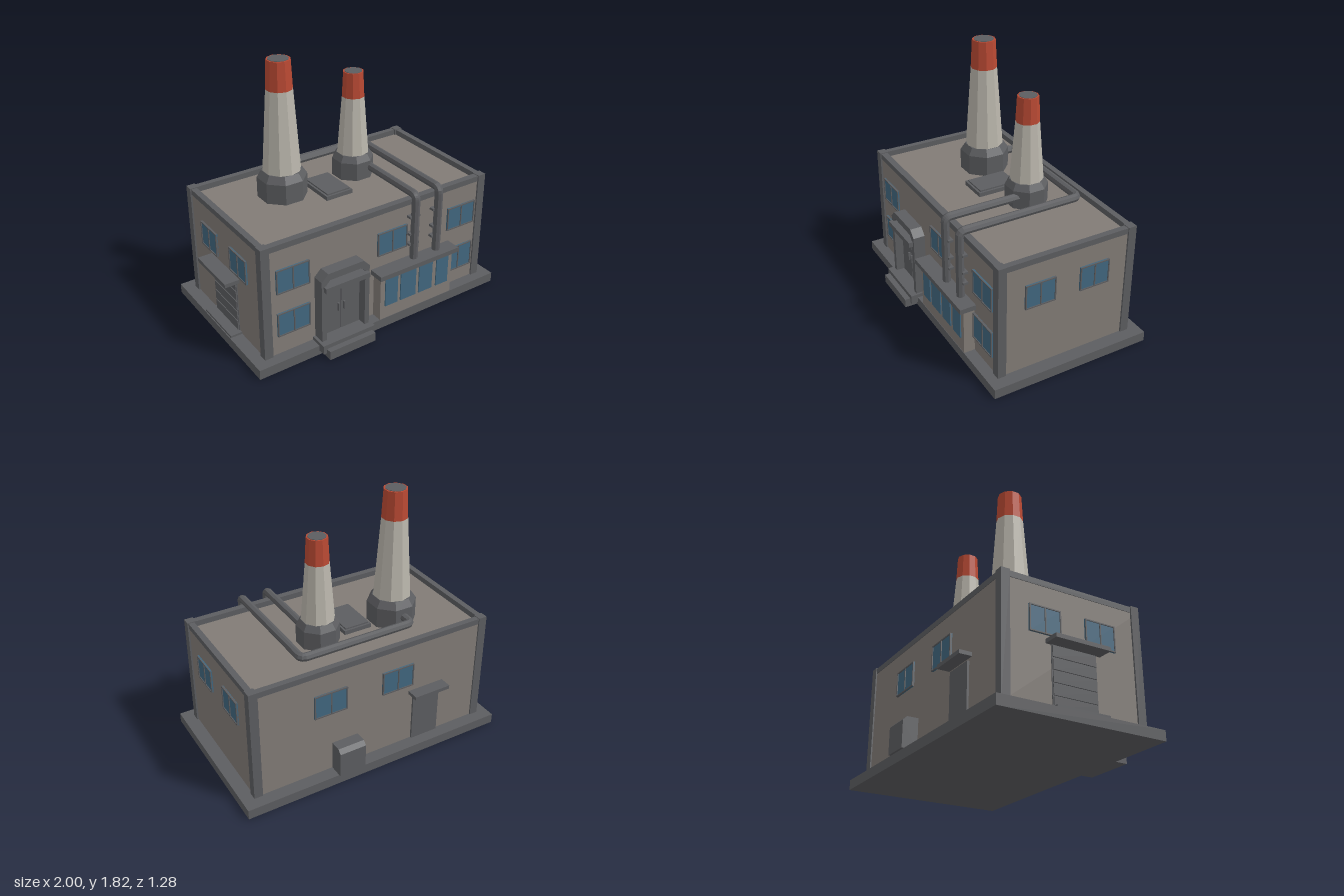
import * as THREE from 'three';

const mat = (name, color, extra = {}) => {
  const m = new THREE.MeshStandardMaterial({ color, flatShading: true, ...extra });
  m.name = name;
  return m;
};

export function createModel() {
  const wall = mat('wall', 0x817b76);
  const trim = mat('darkTrim', 0x5c5d60);
  const glass = mat('glass', 0x41677f);
  const concrete = mat('concrete', 0xbab6ac);
  const red = mat('redBand', 0xb94933);

  const model = new THREE.Group();
  model.name = 'factory';

  const group = (name, parent = model) => {
    const g = new THREE.Group();
    g.name = name;
    parent.add(g);
    return g;
  };
  const add = (name, geo, m, parent = model) => {
    const mesh = new THREE.Mesh(geo, m);
    mesh.name = name;
    parent.add(mesh);
    return mesh;
  };
  // box given by its minimum and maximum corners
  const box = (name, m, [x0, x1], [y0, y1], [z0, z1], parent = model) => {
    const b = add(name, new THREE.BoxGeometry(x1 - x0, y1 - y0, z1 - z0), m, parent);
    b.position.set((x0 + x1) / 2, (y0 + y1) / 2, (z0 + z1) / 2);
    return b;
  };

  // slab, walls and roof
  const X0 = -0.893, X1 = 0.9, Z0 = -0.528, Z1 = 0.468;
  box('foundation', trim, [-0.985, 0.995], [0, 0.07], [-0.62, 0.55]);
  box('walls', wall, [X0, X1], [0.07, 0.85], [Z0, Z1]);

  // parapet and corner pillars
  const parapet = group('parapet');
  box('parapetFront', trim, [X0, X1], [0.85, 0.89], [0.425, Z1 + 0.004], parapet);
  box('parapetBack', trim, [X0, X1], [0.85, 0.89], [Z0 - 0.004, -0.49], parapet);
  box('parapetLeft', trim, [0.862, X1 + 0.004], [0.85, 0.89], [Z0, Z1], parapet);
  box('parapetRight', trim, [X0 - 0.004, -0.855], [0.85, 0.89], [Z0, Z1], parapet);
  for (const x of [-0.905, 0.85])
    for (const z of [-0.538, 0.42])
      box('cornerPillar', trim, [x, x + 0.062], [0.07, 0.895], [z, z + 0.06]);

  // one group per facade; local z = 0 lies on the wall surface
  const facade = (name, x, z, turn) => {
    const g = group(name);
    g.position.set(x, 0, z);
    g.rotation.y = turn;
    return g;
  };
  const front = facade('frontFacade', 0, Z1, 0);
  const back = facade('backFacade', 0, Z0, Math.PI);
  const left = facade('leftFacade', X1, 0, Math.PI / 2);
  const right = facade('rightFacade', X0, 0, -Math.PI / 2);

  // two-pane window with a thin frame
  const windowAt = (parent, x, y, w = 0.246, h = 0.175) => {
    const g = group('window', parent);
    g.position.set(x, y, 0);
    const t = 0.008, d = [0, 0.015];
    box('pane', glass, [-w / 2, w / 2], [-h / 2, h / 2], [0, 0.009], g);
    for (const s of [-1, 1]) {
      const a = s * (w / 2 - t / 2), b = s * (h / 2 - t / 2);
      box('frameSide', trim, [a - t / 2, a + t / 2], [-h / 2, h / 2], d, g);
      box('frameRail', trim, [-w / 2, w / 2], [b - t / 2, b + t / 2], d, g);
    }
    box('mullion', trim, [-t / 2, t / 2], [-h / 2, h / 2], d, g);
  };
  for (const x of [-0.678, 0.105, 0.708]) windowAt(front, x, 0.623);
  windowAt(front, -0.678, 0.298);
  windowAt(front, 0.708, 0.278, 0.246, 0.195);
  for (const x of [-0.175, 0.23]) windowAt(left, x, 0.623, 0.222);
  for (const x of [-0.235, 0.165]) windowAt(right, x, 0.623, 0.222);
  for (const x of [-0.335, 0.185]) windowAt(back, x, 0.623);

  // shop bay with canopy and tall panes
  box('bay', wall, [-0.04, 0.585], [0.07, 0.41], [Z1, 0.547]);
  box('bayCanopy', trim, [-0.065, 0.61], [0.41, 0.445], [Z1, 0.583]);
  for (const [a, b] of [[-0.002, 0.102], [0.128, 0.26], [0.288, 0.405], [0.442, 0.548]])
    box('bayPane', glass, [a, b], [0.172, 0.405], [0.547, 0.555]);

  // entrance portal with chamfered arch
  const entrance = group('entrance');
  box('lowerStep', trim, [-0.51, -0.145], [0, 0.065], [0.5, 0.64], entrance);
  box('upperStep', trim, [-0.535, -0.122], [0.03, 0.095], [0.47, 0.6], entrance);
  const arch = (w, top, cut, s) => {
    s.moveTo(-w, 0.09);
    s.lineTo(w, 0.09);
    s.lineTo(w, top - cut);
    s.lineTo(w - cut, top);
    s.lineTo(cut - w, top);
    s.lineTo(-w, top - cut);
    s.closePath();
    return s;
  };
  const portal = arch(0.188, 0.607, 0.05, new THREE.Shape());
  portal.holes.push(arch(0.153, 0.557, 0.03, new THREE.Path()));
  const portalMesh = add('portalFrame',
    new THREE.ExtrudeGeometry(portal, { depth: 0.085, bevelEnabled: false }), trim, entrance);
  portalMesh.position.set(-0.327, 0, Z1);
  box('portalLintel', trim, [-0.5, -0.155], [0.485, 0.522], [Z1, 0.583], entrance);
  for (const s of [-1, 1]) {
    const c = -0.327 + s * 0.076;
    box('doorLeaf', trim, [c - 0.073, c + 0.073], [0.095, 0.485], [Z1, 0.493], entrance);
    const h = -0.327 + s * 0.022;
    box('doorHandle', trim, [h - 0.006, h + 0.006], [0.25, 0.31], [0.493, 0.51], entrance);
  }

  // roller door with awning and ramp
  box('rollerDoorBack', trim, [-0.195, 0.125], [0.07, 0.485], [0, 0.006], right);
  for (let i = 0; i < 5; i++)
    box('rollerSlat', trim, [-0.19, 0.12], [0.09 + i * 0.079, 0.16 + i * 0.079], [0, 0.014], right);
  box('rollerAwning', trim, [-0.23, 0.16], [0.483, 0.51], [0, 0.107], right);
  box('rollerRamp', trim, [-0.22, 0.15], [0.05, 0.085], [0, 0.085], right);

  // back door with its canopy
  box('backDoor', trim, [0.315, 0.53], [0.07, 0.44], [0, 0.014], back);
  box('backDoorCanopy', trim, [0.283, 0.562], [0.458, 0.484], [0, 0.088], back);

  // chamfered utility box against the back wall
  const unit = new THREE.Shape([[0, 0.07], [0.108, 0.07], [0.108, 0.255], [0.08, 0.283], [0, 0.283]]
    .map(([x, y]) => new THREE.Vector2(x, y)));
  const unitMesh = add('utilityBox',
    new THREE.ExtrudeGeometry(unit, { depth: 0.197, bevelEnabled: false }), trim);
  unitMesh.rotation.y = Math.PI / 2;
  unitMesh.position.set(0.125, 0, Z0);
  unitMesh.scale.x = 1;
  // profile runs toward -z after the quarter turn

  // roof hatch
  box('hatchBase', trim, [-0.183, 0.025], [0.85, 0.88], [-0.188, 0.117]);
  box('hatchLid', trim, [-0.168, 0.01], [0.88, 0.89], [-0.173, 0.102]);

  // chimneys: octagonal footing, tapered shaft, red band and dark flue
  const chimney = (x, z, f, yFoot, yShaft, yBand, yTop, rBottom, rBand, rTop) => {
    const g = group('chimney');
    g.position.set(x, 0, z);
    const ring = (name, m, r0, r1, y0, y1, sides, turn, open = false) => {
      const c = add(name, new THREE.CylinderGeometry(r1, r0, y1 - y0, sides, 1, open), m, g);
      c.position.y = (y0 + y1) / 2;
      c.rotation.y = turn;
    };
    ring('footing', trim, f, f, 0.85, yFoot, 8, Math.PI / 8);
    ring('footingSlope', trim, f, rBottom * 1.05, yFoot, yShaft, 8, Math.PI / 8);
    ring('shaft', concrete, rBottom, rBand, yShaft, yBand, 10, 0);
    ring('band', red, rBand, rTop, yBand, yTop, 10, 0);
    ring('flue', trim, rTop * 0.86, rTop * 0.86, yTop - 0.01, yTop + 0.003, 10, 0);
  };
  chimney(-0.375, -0.143, 0.173, 0.995, 1.045, 1.62, 1.82, 0.133, 0.092, 0.082);
  chimney(0.208, -0.143, 0.149, 0.98, 1.025, 1.44, 1.618, 0.115, 0.081, 0.072);

  // pipes: straight runs joined by short bends
  const pipe = (name, points) => {
    const p = points.map((a) => new THREE.Vector3(...a));
    const path = new THREE.CurvePath();
    let from = p[0];
    for (let i = 1; i < p.length - 1; i++) {
      const bend = 0.04;
      const a = p[i].clone().add(p[i - 1].clone().sub(p[i]).setLength(bend));
      const b = p[i].clone().add(p[i + 1].clone().sub(p[i]).setLength(bend));
      path.add(new THREE.LineCurve3(from, a));
      path.add(new THREE.QuadraticBezierCurve3(a, p[i], b));
      from = b;
    }
    path.add(new THREE.LineCurve3(from, p[p.length - 1]));
    add(name, new THREE.TubeGeometry(path, 140, 0.029, 8, false), trim);
  };
  const py = 0.93, pz = 0.505;
  pipe('longPipe', [[-0.375, py, -0.15], [-0.375, py, -0.39], [0.467, py, -0.39],
    [0.467, py, pz], [0.467, 0.44, pz]]);
  pipe('shortPipe', [[0.27, py, -0.1], [0.27, py, pz], [0.27, 0.44, pz]]);

  // wall clamps holding the pipes
  for (const x of [0.27, 0.467])
    for (const y of [0.555, 0.635, 0.765])
      box('pipeClamp', trim, [x - 0.042, x + 0.042], [y - 0.008, y + 0.008], [Z1, pz]);

  return model;
}
